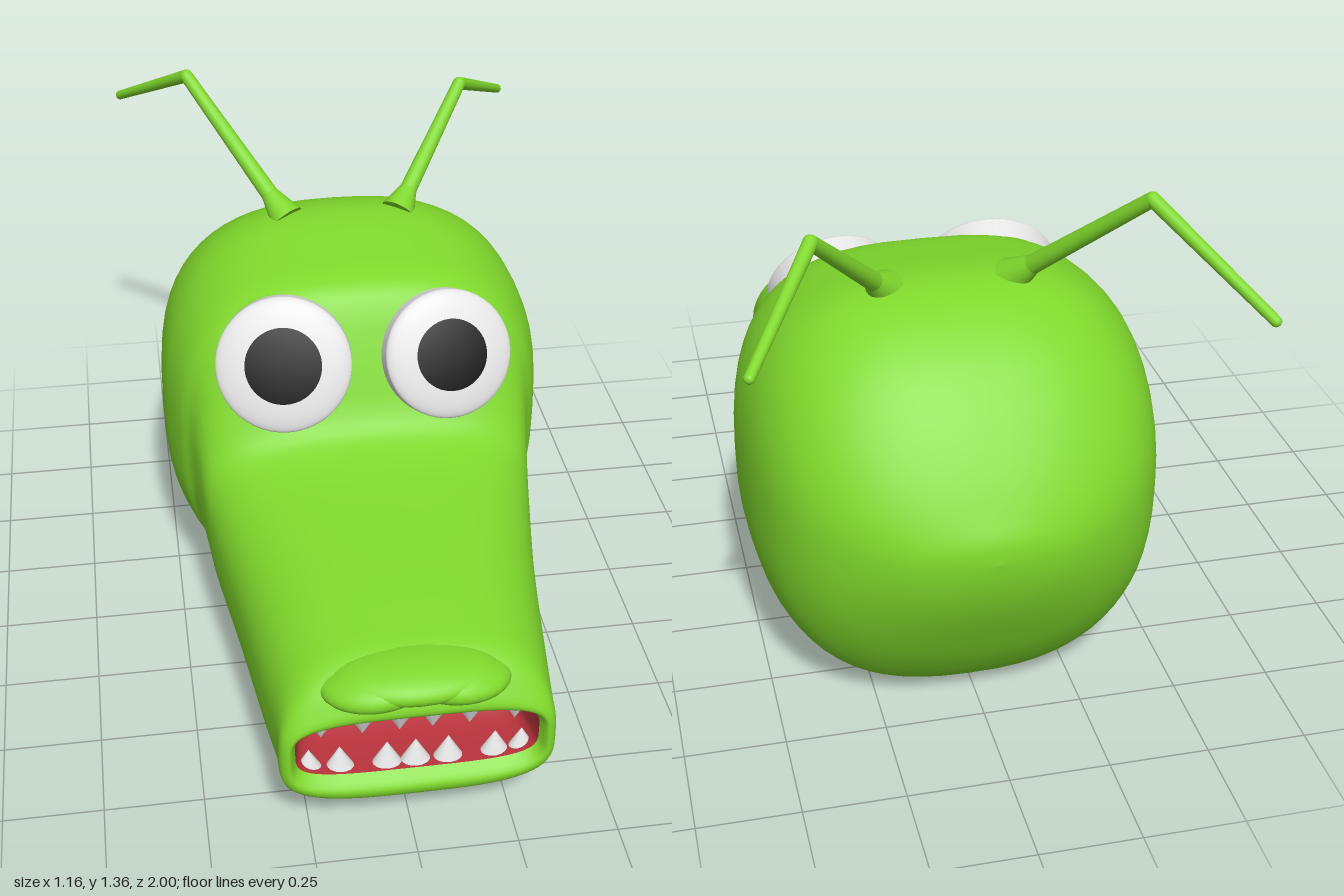
import * as THREE from 'three';

const mat = (name, color) => {
  const m = new THREE.MeshStandardMaterial({ color });
  m.name = name;
  return m;
};

// Smooth skin through rounded cross-sections: [z, halfWidth, yBottom, yMiddle, yTop, topPower, bottomPower]
function loft(sections, cx, cols = 64, steps = 4) {
  const rows = (sections.length - 1) * steps + 1;
  const pos = [], index = [];
  const columns = [];
  const pow = (v, n) => Math.sign(v) * Math.pow(Math.abs(v), 2 / n);
  for (let j = 0; j < cols; j++) {
    const a = (j / cols) * Math.PI * 2, c = Math.cos(a), s = Math.sin(a);
    columns.push(new THREE.CatmullRomCurve3(sections.map(([z, w, yb, ym, yt, nt, nb]) => {
      const n = s >= 0 ? nt : nb, h = s >= 0 ? yt - ym : ym - yb;
      return new THREE.Vector3(cx + w * pow(c, n), ym + h * pow(s, n), z);
    })));
  }
  for (let i = 0; i < rows; i++)
    for (const col of columns) pos.push(...col.getPoint(i / (rows - 1)).toArray());
  for (let i = 0; i < rows - 1; i++)
    for (let j = 0; j < cols; j++) {
      const k = (j + 1) % cols;
      const a = i * cols + j, b = i * cols + k, c = a + cols, d = b + cols;
      index.push(a, c, b, b, c, d);
    }
  const g = new THREE.BufferGeometry();
  g.setAttribute('position', new THREE.Float32BufferAttribute(pos, 3));
  g.setIndex(index);
  g.computeVertexNormals();
  return g;
}

export function createModel() {
  const root = new THREE.Group();
  const green = mat('skin green', 0x80d82c);
  const white = mat('eye and tooth white', 0xe4e4e4);
  const black = mat('pupil black', 0x0a0a0a);
  const red = mat('mouth red', 0xb8323c);

  const add = (name, geo, material, parent = root) => {
    const m = new THREE.Mesh(geo, material);
    m.name = name;
    parent.add(m);
    return m;
  };

  // Head: mouth rim, long snout, steep brow, round skull
  add('head', loft([
    [0.915, 0.295, 0.20, 0.285, 0.365, 4, 4],
    [0.945, 0.312, 0.165, 0.28, 0.395, 3.6, 3.6],
    [0.93, 0.332, 0.13, 0.27, 0.44, 3.2, 3.2],
    [0.88, 0.336, 0.126, 0.28, 0.515, 2.9, 3],
    [0.75, 0.352, 0.115, 0.28, 0.545, 2.9, 3],
    [0.45, 0.39, 0.088, 0.32, 0.585, 2.8, 2.9],
    [0.20, 0.43, 0.066, 0.38, 0.63, 2.8, 2.8],
    [0.13, 0.44, 0.06, 0.42, 0.67, 2.8, 2.7],
    [0.06, 0.45, 0.052, 0.46, 0.82, 2.8, 2.7],
    [-0.01, 0.465, 0.046, 0.50, 0.96, 2.9, 2.6],
    [-0.06, 0.49, 0.04, 0.52, 1.00, 2.9, 2.6],
    [-0.20, 0.522, 0.012, 0.53, 1.03, 2.8, 2.6],
    [-0.38, 0.52, 0.003, 0.53, 1.052, 2.7, 2.6],
    [-0.50, 0.505, 0.003, 0.53, 1.025, 2.6, 2.6],
    [-0.62, 0.47, 0.03, 0.53, 0.955, 2.5, 2.5],
    [-0.72, 0.41, 0.14, 0.53, 0.855, 2.4, 2.4],
    [-0.80, 0.32, 0.275, 0.54, 0.75, 2.3, 2.3],
    [-0.86, 0.20, 0.40, 0.545, 0.65, 2.1, 2.1],
    [-0.885, 0.09, 0.485, 0.55, 0.60, 2, 2],
    [-0.893, 0.001, 0.549, 0.55, 0.551, 2, 2],
  ], 0.01), green);

  // Mouth lining, from the throat forward to the rim
  add('mouthLining', loft([
    [0.30, 0.001, 0.269, 0.27, 0.271, 3, 3],
    [0.32, 0.15, 0.23, 0.27, 0.31, 3, 3],
    [0.70, 0.20, 0.235, 0.275, 0.32, 3, 3],
    [0.80, 0.27, 0.21, 0.28, 0.35, 4, 4],
    [0.915, 0.295, 0.20, 0.285, 0.365, 4, 4],
  ], 0.01), red);

  // Overhanging upper lip in two lobes
  for (const side of [-1, 1]) {
    const lobe = add(side > 0 ? 'leftUpperLip' : 'rightUpperLip', new THREE.SphereGeometry(1, 32, 20), green);
    lobe.scale.set(0.14, 0.05, 0.105);
    lobe.position.set(0.005 + side * 0.09, 0.468, 0.885);
    lobe.rotation.z = -side * 0.1;
  }
  const lip = add('middleUpperLip', new THREE.SphereGeometry(1, 32, 20), green);
  lip.scale.set(0.2, 0.05, 0.115);
  lip.position.set(0.005, 0.48, 0.88);

  // Teeth
  const tooth = (name, x, y, dir) => {
    const t = add(name, new THREE.ConeGeometry(0.04, 0.07, 16), white);
    t.position.set(x, y, 0.885);
    t.scale.z = 0.7;
    if (dir < 0) t.rotation.z = Math.PI;
  };
  [-0.22, -0.12, -0.03, 0.05, 0.14, 0.25].forEach(x => tooth('upperTooth', x, 0.335, -1));
  [-0.25, -0.175, -0.06, 0.01, 0.09, 0.205, 0.27].forEach(x => tooth('lowerTooth', x, 0.23, 1));

  // Eyes: green socket, shallow white dome and black pupil cap
  const dome = (r, depth, angle) => {
    const g = new THREE.SphereGeometry(1, 48, 16, 0, Math.PI * 2, 0, angle);
    g.rotateX(Math.PI / 2);
    return g.scale(r, r, depth);
  };
  const eye = (name, x, y, r, pupil, yaw) => {
    const e = new THREE.Group();
    e.name = name;
    e.position.set(x, y, 0.075);
    e.rotation.set(-0.43, yaw, 0);
    root.add(e);
    add('eyeSocket', new THREE.SphereGeometry(1, 40, 24).scale(r + 0.03, r + 0.03, 0.16), green, e).position.z = -0.14;
    add('eyeWhite', dome(r, 0.035, Math.PI / 2), white, e);
    add('eyeRim', new THREE.CylinderGeometry(r, r, 0.06, 48, 1, true).rotateX(Math.PI / 2), white, e).position.z = -0.03;
    add('pupil', dome(r, 0.035, Math.asin(pupil / r)), black, e).position.z = 0.004;
  };
  eye('rightEye', -0.205, 0.843, 0.178, 0.1, -0.12);
  eye('leftEye', 0.23, 0.838, 0.171, 0.095, 0.12);

  // Bent antennae with flared roots
  const rod = (name, a, b, ra, rb, parent) => {
    const d = b.clone().sub(a);
    const m = add(name, new THREE.CylinderGeometry(rb, ra, d.length(), 16), green, parent);
    m.position.copy(a).addScaledVector(d, 0.5);
    m.quaternion.setFromUnitVectors(new THREE.Vector3(0, 1, 0), d.normalize());
  };
  const ball = (name, p, r, parent) => add(name, new THREE.SphereGeometry(r, 16, 12), green, parent).position.copy(p);
  const antenna = (name, ...points) => {
    const g = new THREE.Group();
    g.name = name;
    root.add(g);
    const [base, elbow, tip] = points.map(p => new THREE.Vector3(...p));
    const neck = base.clone().lerp(elbow, 0.17);
    rod('antennaRoot', base, neck, 0.048, 0.024, g);
    rod('lowerAntenna', neck, elbow, 0.024, 0.018, g);
    ball('antennaElbow', elbow, 0.018, g);
    rod('upperAntenna', elbow, tip, 0.018, 0.013, g);
    ball('antennaTip', tip, 0.013, g);
  };
  antenna('rightAntenna', [-0.14, 1.03, -0.385], [-0.38, 1.338, -0.685], [-0.565, 1.165, -0.987]);
  antenna('leftAntenna', [0.17, 1.03, -0.385], [0.385, 1.288, -0.64], [0.565, 1.135, -0.94]);

  return root;
}
